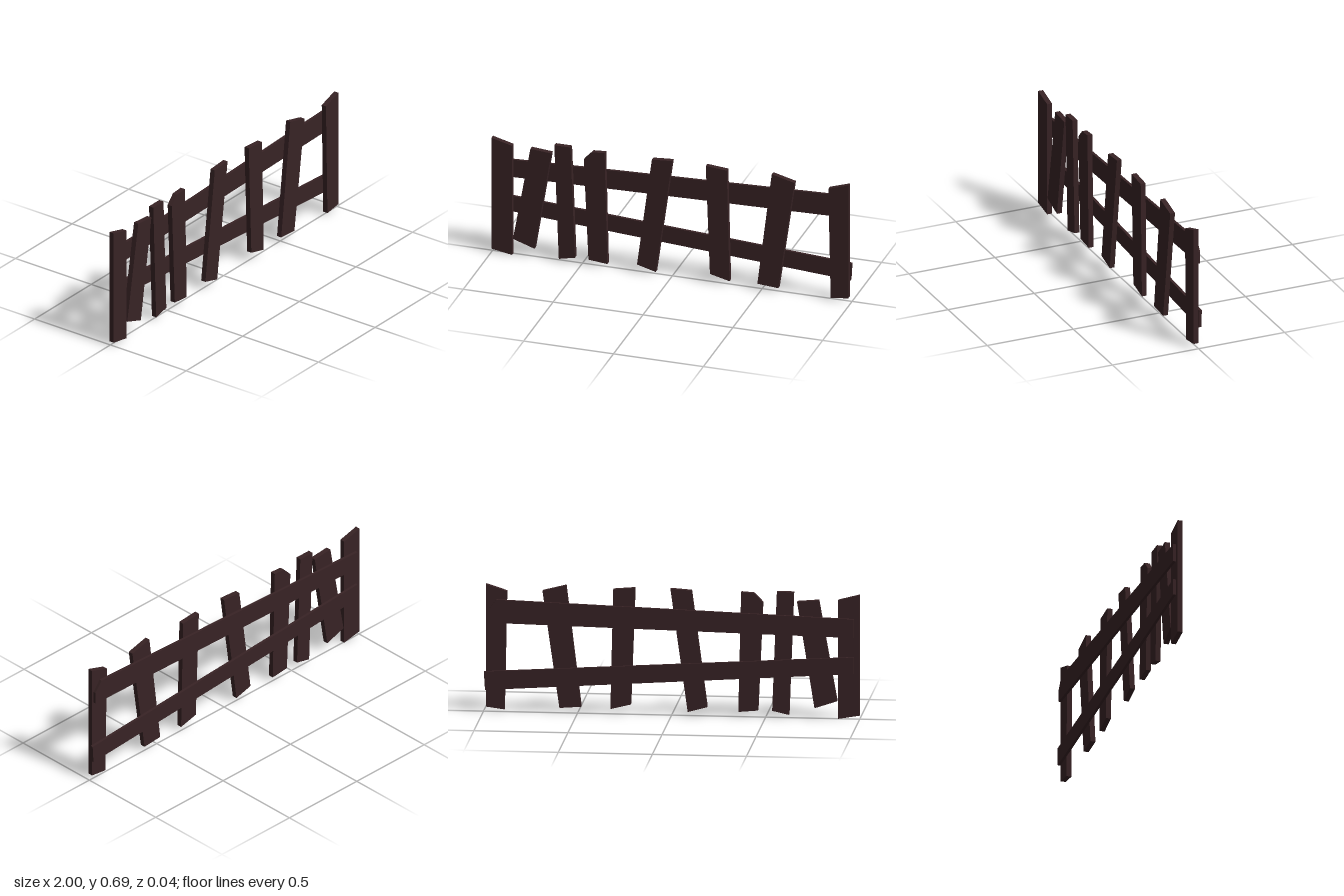
import * as THREE from 'three';

const wood = new THREE.MeshStandardMaterial({ color: 0x382325 });
wood.name = 'darkWood';

// A flat board cut to an outline in x and y, spanning z0 to z1
function board(name, outline, z0, z1) {
  const shape = new THREE.Shape(outline.map(([x, y]) => new THREE.Vector2(x, y)));
  const geometry = new THREE.ExtrudeGeometry(shape, { depth: z1 - z0, bevelEnabled: false });
  geometry.translate(0, 0, z0);
  const mesh = new THREE.Mesh(geometry, wood);
  mesh.name = name;
  return mesh;
}

export function createModel() {
  const fence = new THREE.Group();
  fence.name = 'fence';

  // Crooked upright pickets, counter-clockwise from the bottom corner at -x
  const pickets = [
    [[-1, 0.02], [-0.885, 0], [-0.885, 0.64], [-1, 0.67]],
    [[-0.88, 0.095], [-0.76, 0.055], [-0.667, 0.628], [-0.783, 0.638]],
    [[-0.625, 0.016], [-0.535, 0.036], [-0.56, 0.679], [-0.65, 0.679]],
    [[-0.46, 0.036], [-0.355, 0.026], [-0.37, 0.674], [-0.44, 0.669], [-0.486, 0.62]],
    [[-0.19, 0.048], [-0.086, 0.02], [0.006, 0.684], [-0.107, 0.676]],
    [[0.216, 0.054], [0.325, 0.027], [0.31, 0.674], [0.193, 0.684]],
    [[0.48, 0.036], [0.596, 0.027], [0.686, 0.658], [0.56, 0.69]],
    [[0.888, 0.013], [0.986, 0.026], [0.986, 0.688], [0.875, 0.652]],
  ];
  pickets.forEach((outline, i) => fence.add(board(`picket${i + 1}`, outline, -0.006, 0.022)));

  // Two uneven rails nailed across the back
  const upper = [[-0.97, 0.442], [0.975, 0.483], [0.975, 0.55], [0.93, 0.608], [-0.97, 0.542]];
  const lower = [[-0.97, 0.247], [0.99, 0.119], [0.996, 0.218], [-0.97, 0.337]];
  fence.add(board('upperRail', upper, -0.021, -0.006));
  fence.add(board('lowerRail', lower, -0.021, -0.006));

  return fence;
}
